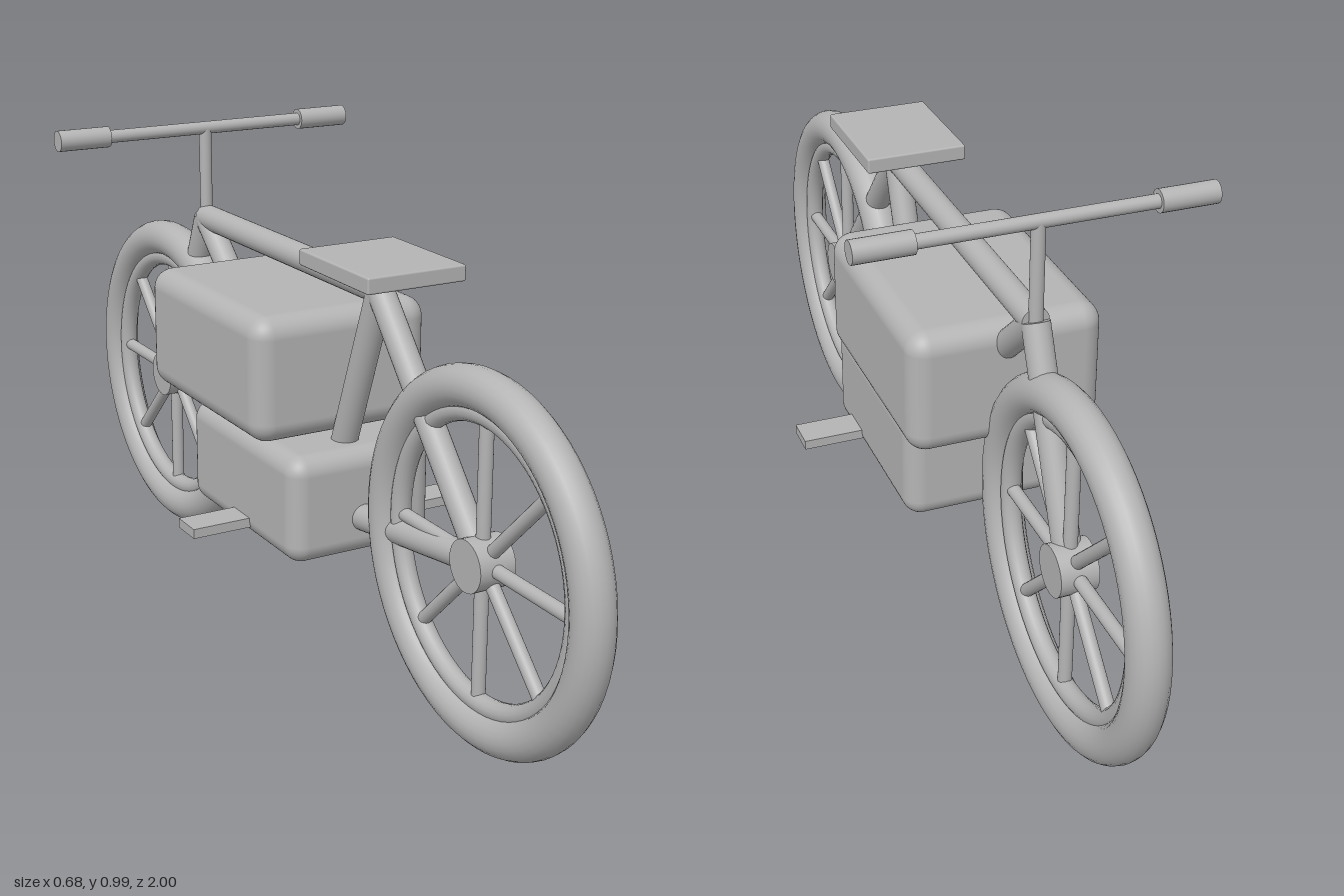
import * as THREE from 'three';
import { RoundedBoxGeometry } from 'three/addons/geometries/RoundedBoxGeometry.js';

const grey = new THREE.MeshStandardMaterial({ color: 0xb4b4b4 });
grey.name = 'plainGrey';

const V = (x, y, z) => new THREE.Vector3(x, y, z);

function add(parent, name, geometry, x = 0, y = 0, z = 0) {
  const mesh = new THREE.Mesh(geometry, grey);
  mesh.name = name;
  mesh.position.set(x, y, z);
  parent.add(mesh);
  return mesh;
}

// Straight round tube between two points
function tube(parent, name, a, b, radius) {
  const dir = b.clone().sub(a);
  const mesh = add(parent, name, new THREE.CylinderGeometry(radius, radius, dir.length(), 24));
  mesh.position.copy(a).add(b).multiplyScalar(0.5);
  mesh.quaternion.setFromUnitVectors(V(0, 1, 0), dir.normalize());
  return mesh;
}

// Wheel lying in the y-z plane
function wheel(name, y, z) {
  const group = new THREE.Group();
  group.name = name;
  group.position.set(0, y, z);
  add(group, 'tyre', new THREE.TorusGeometry(0.319, 0.04, 20, 72).rotateY(Math.PI / 2));
  add(group, 'rim', new THREE.TorusGeometry(0.275, 0.02, 14, 72).rotateY(Math.PI / 2));
  add(group, 'hub', new THREE.CylinderGeometry(0.05, 0.05, 0.075, 28).rotateZ(Math.PI / 2));
  for (let i = 0; i < 8; i++) {
    const a = (i * Math.PI) / 4;
    tube(group, 'spoke', V(0, 0, 0), V(0, Math.sin(a) * 0.275, Math.cos(a) * 0.275), 0.0135);
  }
  return group;
}

export function createModel() {
  const bike = new THREE.Group();
  bike.name = 'electricBike';

  // Wheels: the handlebar end points to -z
  bike.add(wheel('rearWheel', 0.36, 0.64), wheel('steeringWheel', 0.36, -0.64));

  // Frame joints
  const rearHub = V(0, 0.36, 0.64);
  const steerHub = V(0, 0.36, -0.64);
  const seatJoint = V(0, 0.775, 0.28);
  const head = V(0, 0.77, -0.46);
  const bottom = V(0, 0.28, 0.09);
  const r = 0.027;
  const frame = new THREE.Group();
  frame.name = 'frame';
  bike.add(frame);
  tube(frame, 'topTube', seatJoint, head, r);
  tube(frame, 'seatTube', seatJoint, bottom, r);
  tube(frame, 'seatStay', seatJoint, rearHub, r);
  tube(frame, 'chainStay', bottom, rearHub, r);
  tube(frame, 'downTube', head, bottom, r);
  tube(frame, 'fork', head, steerHub, r);

  // Battery and motor housings
  add(bike, 'batteryBox', new RoundedBoxGeometry(0.39, 0.255, 0.498, 5, 0.042), 0, 0.578, -0.099);
  add(bike, 'motorBox', new RoundedBoxGeometry(0.32, 0.221, 0.455, 5, 0.038), 0, 0.331, 0.002);

  // Saddle
  add(bike, 'saddle', new RoundedBoxGeometry(0.21, 0.032, 0.255, 2, 0.004), 0, 0.825, 0.282);

  // Stem, handlebar and grips
  tube(bike, 'stem', head, V(0, 0.967, -0.46), 0.0135);
  tube(bike, 'handlebar', V(-0.3, 0.967, -0.46), V(0.3, 0.967, -0.46), 0.0135);
  for (const s of [-1, 1]) {
    tube(bike, 'grip', V(s * 0.228, 0.967, -0.46), V(s * 0.342, 0.967, -0.46), 0.022);
    // Pedals are offset along z, one on each side
    const length = 0.145;
    add(bike, 'pedal', new THREE.BoxGeometry(length, 0.02, 0.069),
      s * (0.285 - length / 2), 0.254, s > 0 ? 0.102 : 0.011);
  }
  return bike;
}
